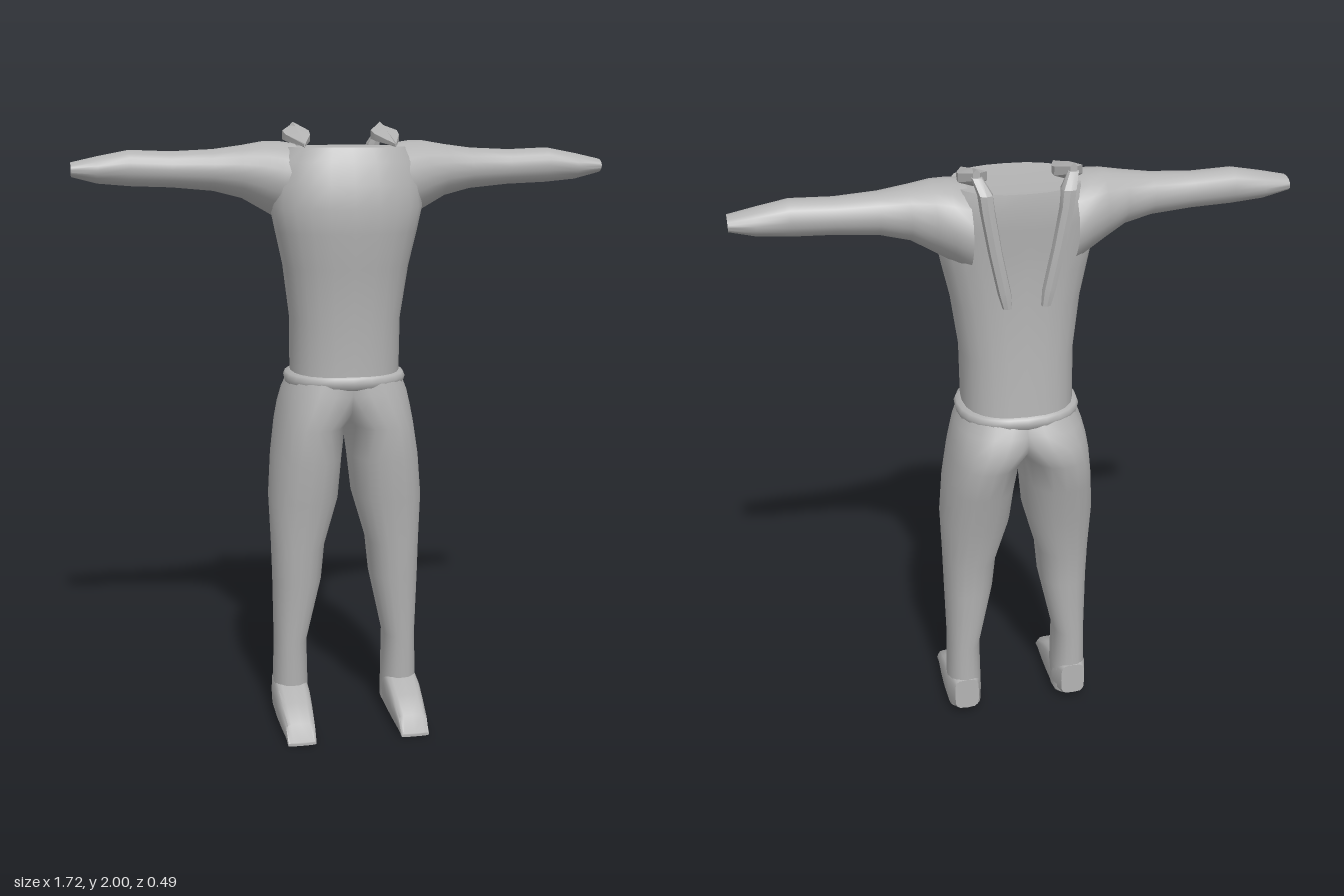
import * as THREE from 'three';
import { toCreasedNormals } from 'three/addons/utils/BufferGeometryUtils.js';

const AXES = 'xyz';

// Skin rounded cross-sections along an axis. A ring is [position, vLow, vHigh, uLow, uHigh],
// where v and u are the next two axes in cyclic order (y: z then x; x: y then z; z: x then y).
function loft(axis, rings, { seg = 20, power = 2, startCap = false, endCap = false, dip = 0, skip = null, crease = 0.9, mirror = false } = {}) {
  const a = AXES.indexOf(axis), v = (a + 1) % 3, u = (a + 2) % 3;
  const pos = [], index = [];
  const round = (n) => Math.sign(n) * Math.pow(Math.abs(n), 2 / power);
  const push = (pa, pv, pu) => {
    const p = [0, 0, 0];
    p[a] = pa; p[v] = pv; p[u] = pu;
    if (mirror) p[0] = -p[0];
    pos.push(...p);
  };
  const tri = (i, j, k) => (mirror ? index.push(i, k, j) : index.push(i, j, k));

  rings.forEach(([p, v0, v1, u0, u1]) => {
    for (let j = 0; j < seg; j++) {
      const t = (j / seg) * Math.PI * 2;
      push(p, (v0 + v1) / 2 + (v1 - v0) / 2 * round(Math.sin(t)), (u0 + u1) / 2 + (u1 - u0) / 2 * round(Math.cos(t)));
    }
  });
  for (let i = 0; i < rings.length - 1; i++) {
    for (let j = 0; j < seg; j++) {
      if (skip && skip(i, j)) continue;
      const k = (j + 1) % seg, b = i * seg, c = b + seg;
      tri(b + j, c + j, b + k);
      tri(b + k, c + j, c + k);
    }
  }
  const cap = (i, end) => {
    const [p, v0, v1, u0, u1] = rings[i];
    const centre = pos.length / 3;
    push(end ? p - dip : p, (v0 + v1) / 2, (u0 + u1) / 2);
    for (let j = 0; j < seg; j++) {
      const m = i * seg + j, n = i * seg + (j + 1) % seg;
      if (end) tri(m, centre, n); else tri(n, centre, m);
    }
  };
  if (startCap) cap(0, false);
  if (endCap) cap(rings.length - 1, true);

  const geo = new THREE.BufferGeometry();
  geo.setAttribute('position', new THREE.Float32BufferAttribute(pos, 3));
  geo.setIndex(index);
  return toCreasedNormals(geo, crease);
}

export function createModel() {
  const model = new THREE.Group();
  model.name = 'headlessBody';
  const grey = new THREE.MeshStandardMaterial({ color: 0xb3b3b3 });
  grey.name = 'plain grey';

  const add = (name, axis, rings, options) => {
    const mesh = new THREE.Mesh(loft(axis, rings, options), grey);
    mesh.name = name;
    model.add(mesh);
  };
  const addPair = (name, axis, rings, options) => {
    add(name + 'Left', axis, rings, options);
    add(name + 'Right', axis, rings, { ...options, mirror: true });
  };

  // Torso, open inside the arm roots
  add('torso', 'y', [
    [1.18, -0.205, 0.13, -0.178, 0.178],
    [1.38, -0.187, 0.13, -0.18, 0.18],
    [1.55, -0.18, 0.153, -0.203, 0.203],
    [1.66, -0.18, 0.168, -0.228, 0.228],
    [1.74, -0.183, 0.174, -0.245, 0.245],
    [1.81, -0.19, 0.162, -0.24, 0.24],
    [1.88, -0.195, 0.143, -0.225, 0.225],
    [1.925, -0.19, 0.122, -0.195, 0.195],
  ], { seg: 24, power: 2.4, endCap: true, dip: 0.008, skip: (i, j) => i === 5 && [22, 23, 0, 1, 10, 11, 12, 13].includes(j) });

  // Rolled waistband
  add('waistband', 'y', [
    [1.16, -0.205, 0.13, -0.18, 0.18],
    [1.168, -0.213, 0.138, -0.195, 0.195],
    [1.185, -0.217, 0.142, -0.2, 0.2],
    [1.2, -0.212, 0.137, -0.194, 0.194],
    [1.207, -0.2, 0.125, -0.176, 0.176],
  ], { seg: 24, power: 2.3, crease: 1.2 });

  // Arms flare into the shoulders and end in open wrists
  addPair('arm', 'x', [
    [0.16, 1.66, 1.935, -0.19, 0.115],
    [0.21, 1.695, 1.942, -0.182, 0.09],
    [0.26, 1.725, 1.942, -0.16, 0.068],
    [0.33, 1.765, 1.93, -0.13, 0.044],
    [0.42, 1.788, 1.918, -0.113, 0.023],
    [0.55, 1.8, 1.912, -0.105, 0.008],
    [0.68, 1.805, 1.917, -0.103, 0.003],
    [0.78, 1.814, 1.898, -0.101, 0],
    [0.86, 1.835, 1.88, -0.095, -0.005],
  ]);

  // Trouser legs meet at the seam above the crotch
  addPair('leg', 'y', [
    [0.03, -0.113, 0.04, 0.132, 0.248],
    [0.13, -0.112, 0.05, 0.131, 0.247],
    [0.28, -0.115, 0.052, 0.134, 0.243],
    [0.5, -0.125, 0.083, 0.085, 0.247],
    [0.62, -0.136, 0.09, 0.073, 0.25],
    [0.78, -0.172, 0.113, 0.027, 0.256],
    [0.92, -0.212, 0.132, 0.014, 0.245],
    [1.03, -0.243, 0.14, 0.001, 0.229],
    [1.09, -0.247, 0.141, -0.055, 0.218],
    [1.14, -0.228, 0.137, -0.09, 0.206],
    [1.18, -0.207, 0.132, -0.1, 0.19],
  ], { power: 2.3 });

  // Feet with flat soles and sloping toes
  addPair('foot', 'z', [
    [-0.113, 0.15, 0.235, 0.03, 0.15],
    [-0.06, 0.132, 0.25, 0, 0.16],
    [0.05, 0.132, 0.25, 0, 0.132],
    [0.12, 0.135, 0.246, 0, 0.1],
    [0.2, 0.14, 0.24, 0, 0.062],
    [0.238, 0.143, 0.238, 0, 0.012],
  ], { seg: 16, power: 4, startCap: true, endCap: true, crease: 0.7 });

  // Pointed shoulder tabs
  addPair('shoulderTab', 'z', [
    [-0.16, 0.133, 0.157, 1.955, 2.0],
    [-0.1, 0.095, 0.195, 1.932, 1.987],
    [-0.05, 0.1, 0.19, 1.93, 1.972],
    [0.08, 0.143, 0.147, 1.925, 1.937],
  ], { seg: 6, startCap: true, endCap: true, crease: 0.4 });

  // Narrow straps running down the back
  addPair('backStrap', 'y', [
    [1.57, -0.195, -0.165, 0.045, 0.075],
    [1.62, -0.2, -0.16, 0.048, 0.09],
    [1.75, -0.203, -0.16, 0.075, 0.118],
    [1.88, -0.208, -0.16, 0.097, 0.142],
    [1.93, -0.206, -0.15, 0.102, 0.148],
    [1.975, -0.17, -0.145, 0.128, 0.162],
  ], { seg: 8, power: 3, startCap: true, endCap: true, crease: 0.5 });

  return model;
}
